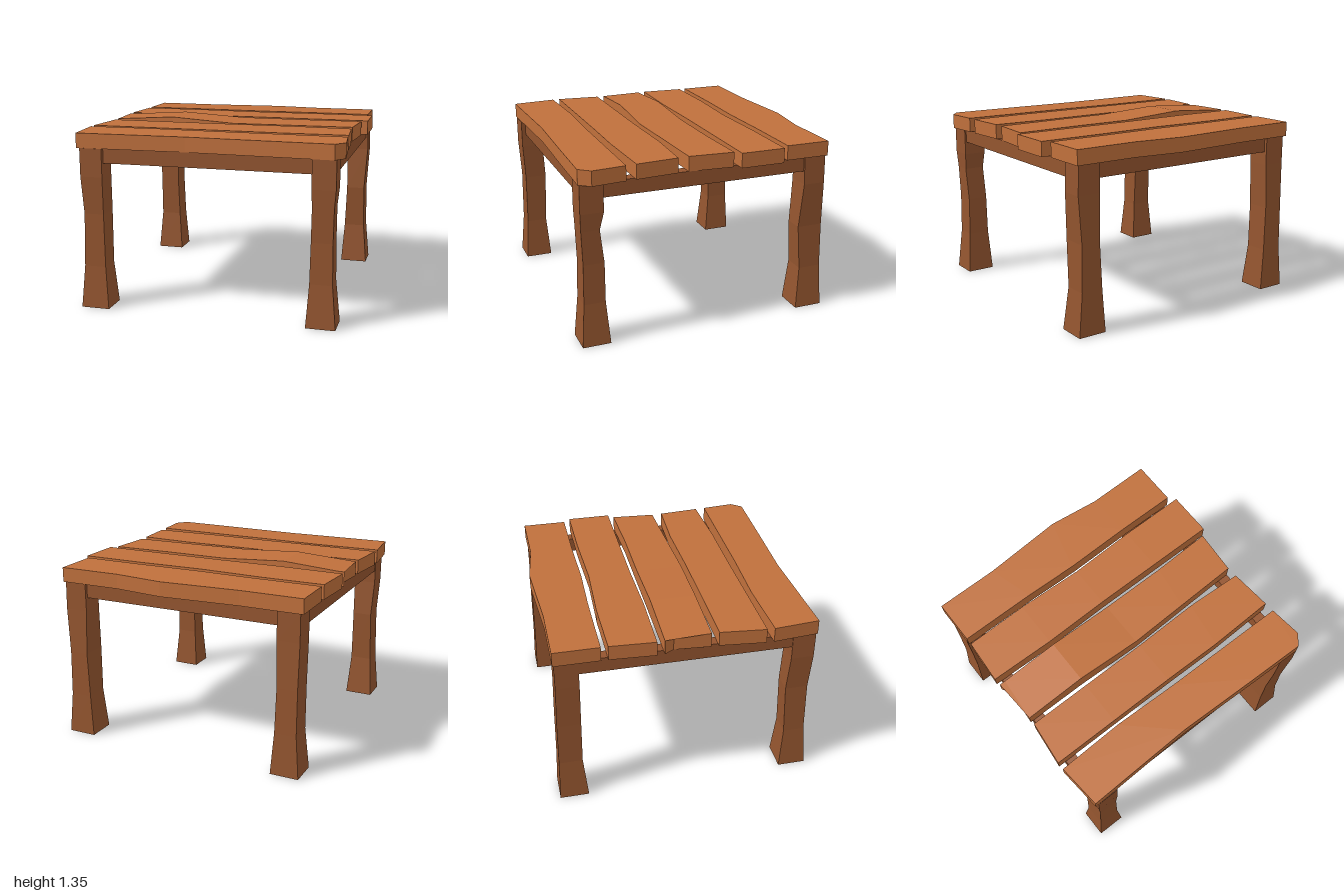
import * as THREE from 'three';

const plankMaterial = new THREE.MeshStandardMaterial({ color: 0xc0703c, flatShading: true });
const frameMaterial = new THREE.MeshStandardMaterial({ color: 0x94552f, flatShading: true });

// Skin a list of four-cornered rings and cap both ends
function loft(rings) {
  const positions = [];
  const quad = (a, b, c, d) => positions.push(...a, ...b, ...c, ...a, ...c, ...d);
  for (let r = 0; r < rings.length - 1; r++) {
    for (let i = 0; i < 4; i++) {
      const j = (i + 1) % 4;
      quad(rings[r][i], rings[r][j], rings[r + 1][j], rings[r + 1][i]);
    }
  }
  quad(...rings[0].slice().reverse());
  quad(...rings[rings.length - 1]);
  const geometry = new THREE.BufferGeometry();
  geometry.setAttribute('position', new THREE.Float32BufferAttribute(positions, 3));
  geometry.computeVertexNormals();
  return geometry;
}

// Leg sections: y, left x, right x, back z, front z
function leg(sections) {
  return loft(sections.map(([y, x0, x1, z0, z1]) =>
    [[x0, y, z1], [x1, y, z1], [x1, y, z0], [x0, y, z0]]));
}

// Plank stations: back x, back z, front x, front z, optional top height
function plank(stations) {
  const low = 1.21;
  return loft(stations.map(([bx, bz, fx, fz, top = 1.32]) =>
    [[fx, low, fz], [bx, low, bz], [bx, top, bz], [fx, top, fz]]));
}

const planks = [
  [[-0.97, -0.935, -0.97, -0.6], [-0.5, -0.935, -0.4, -0.6], [0.1, -0.975, 0, -0.59],
    [0.48, -0.93, 0.5, -0.6], [0.95, -0.935, 0.95, -0.6]],
  [[-0.97, -0.55, -0.99, -0.215], [-0.5, -0.555, -0.5, -0.205], [0, -0.535, 0, -0.215],
    [0.5, -0.55, 0.5, -0.215], [0.995, -0.55, 0.995, -0.215]],
  // Split corner and a low ridge on the middle plank
  [[-0.985, -0.16, -0.945, -0.09], [-0.94, -0.16, -0.965, 0.175], [-0.5, -0.16, -0.5, 0.175, 1.35],
    [0, -0.16, 0, 0.19], [0.5, -0.16, 0.45, 0.175], [0.95, -0.175, 0.925, 0.16]],
  [[-0.965, 0.23, -1, 0.565], [-0.5, 0.23, -0.5, 0.565], [0, 0.23, 0, 0.565],
    [0.5, 0.22, 0.45, 0.57], [0.93, 0.24, 0.955, 0.555]],
  // Clipped corner on the front plank
  [[-1, 0.62, -0.97, 0.955], [-0.5, 0.605, -0.15, 0.93], [0, 0.62, 0.5, 0.95],
    [0.96, 0.63, 0.9, 0.96], [0.985, 0.88, 0.92, 0.96]],
];

const legs = {
  frontRightLeg: [[0, -0.965, -0.75, 0.76, 0.97], [0.32, -0.94, -0.775, 0.785, 0.945],
    [0.72, -0.93, -0.78, 0.77, 0.94], [1, -0.945, -0.775, 0.785, 0.955], [1.21, -0.945, -0.775, 0.785, 0.955]],
  frontLeftLeg: [[0, 0.74, 0.955, 0.76, 0.97], [0.32, 0.76, 0.925, 0.785, 0.945],
    [0.62, 0.765, 0.92, 0.785, 0.94], [0.87, 0.77, 0.925, 0.815, 0.95],
    [1, 0.765, 0.935, 0.785, 0.955], [1.21, 0.765, 0.935, 0.785, 0.955]],
  backRightLeg: [[0, -0.965, -0.75, -0.95, -0.735], [0.32, -0.94, -0.775, -0.94, -0.765],
    [0.66, -0.94, -0.785, -0.935, -0.76], [1, -0.945, -0.775, -0.925, -0.755], [1.21, -0.945, -0.775, -0.925, -0.755]],
  backLeftLeg: [[0, 0.74, 0.955, -0.95, -0.735], [0.32, 0.76, 0.925, -0.94, -0.765],
    [0.66, 0.775, 0.92, -0.935, -0.74], [1, 0.765, 0.94, -0.925, -0.76], [1.21, 0.765, 0.935, -0.925, -0.755]],
};

export function createModel() {
  const table = new THREE.Group();
  table.name = 'table';
  const add = (name, geometry, material) => {
    const mesh = new THREE.Mesh(geometry, material);
    mesh.name = name;
    table.add(mesh);
    return mesh;
  };

  planks.forEach((stations, i) => add(`plank${i + 1}`, plank(stations), plankMaterial));
  for (const [name, sections] of Object.entries(legs)) add(name, leg(sections), frameMaterial);

  // Rails joining the legs beneath the planks
  const sideRail = new THREE.BoxGeometry(0.085, 0.11, 1.6);
  const endRail = new THREE.BoxGeometry(1.6, 0.11, 0.085);
  add('rightRail', sideRail, frameMaterial).position.set(-0.897, 1.155, 0.015);
  add('leftRail', sideRail, frameMaterial).position.set(0.88, 1.155, 0.015);
  add('frontRail', endRail, frameMaterial).position.set(-0.005, 1.155, 0.88);
  add('backRail', endRail, frameMaterial).position.set(-0.005, 1.155, -0.86);
  return table;
}
